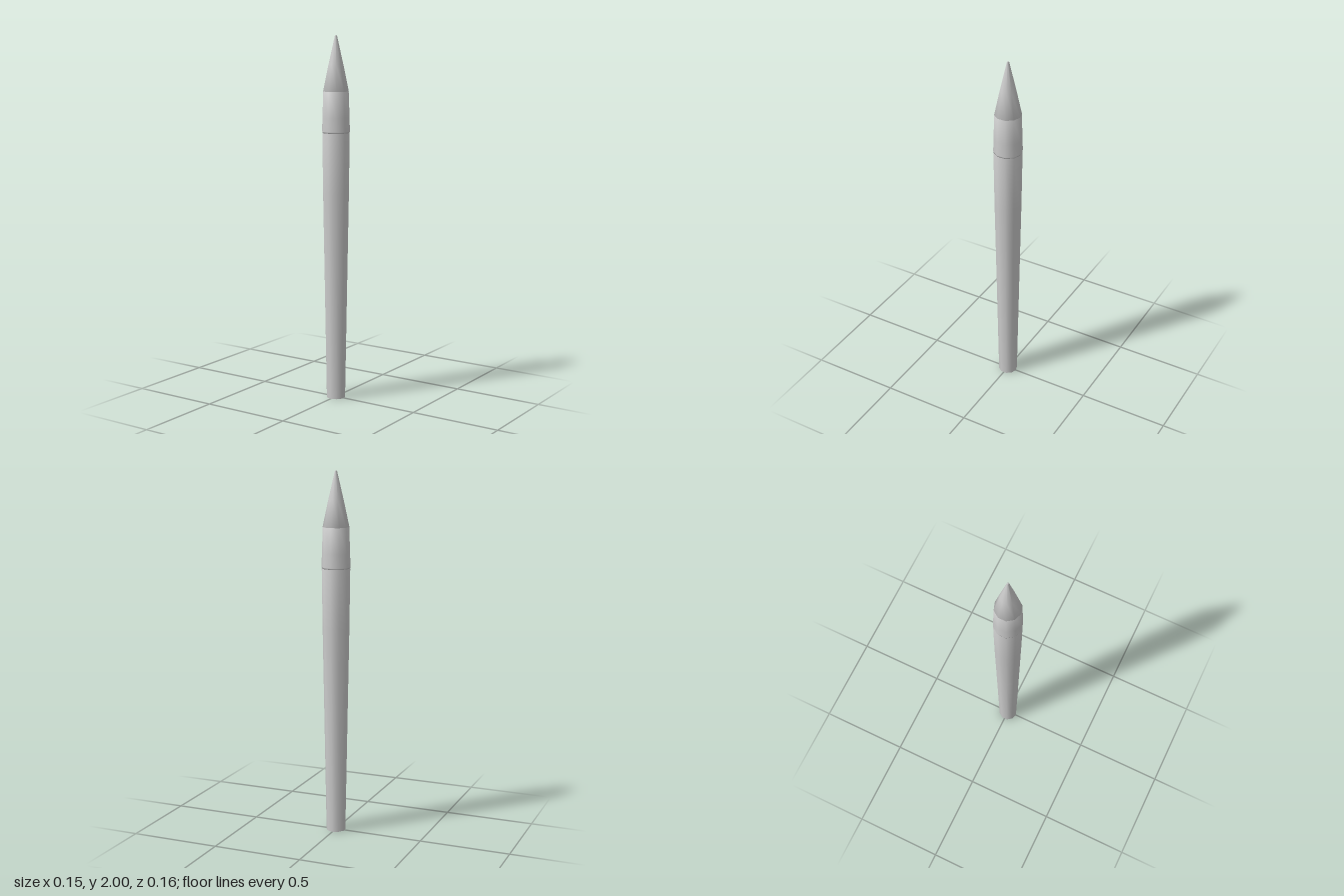
import * as THREE from 'three';
import { mergeVertices } from 'three/addons/utils/BufferGeometryUtils.js';

const SIDES = 10;

// Closed ten-sided turned solid with normals smoothed over its caps
function turned(name, profile, material) {
  const points = profile.map(([r, y]) => new THREE.Vector2(r, y));
  let geometry = new THREE.LatheGeometry(points, SIDES);
  geometry.deleteAttribute('normal');
  geometry.deleteAttribute('uv');
  geometry = mergeVertices(geometry, 1e-5);
  geometry.computeVertexNormals();
  const mesh = new THREE.Mesh(geometry, material);
  mesh.name = name;
  return mesh;
}

export function createModel() {
  const group = new THREE.Group();
  group.name = 'taperedStake';
  const grey = new THREE.MeshStandardMaterial({ color: 0xcccccc });
  grey.name = 'light grey';

  // Long shaft, widening towards the top
  group.add(turned('shaft', [
    [0, 0], [0.053, 0], [0.065, 0.7], [0.073, 1.15], [0.077, 1.478], [0, 1.478],
  ], grey));

  // Collar with a slim lip at its foot
  group.add(turned('collar', [
    [0, 1.478], [0.076, 1.478], [0.078, 1.486], [0.076, 1.56], [0.071, 1.7], [0, 1.7],
  ], grey));

  // Pointed tip with a tiny blunt end
  group.add(turned('tip', [
    [0, 1.7], [0.072, 1.7], [0.042, 1.84], [0.006, 1.995], [0, 2],
  ], grey));

  return group;
}
